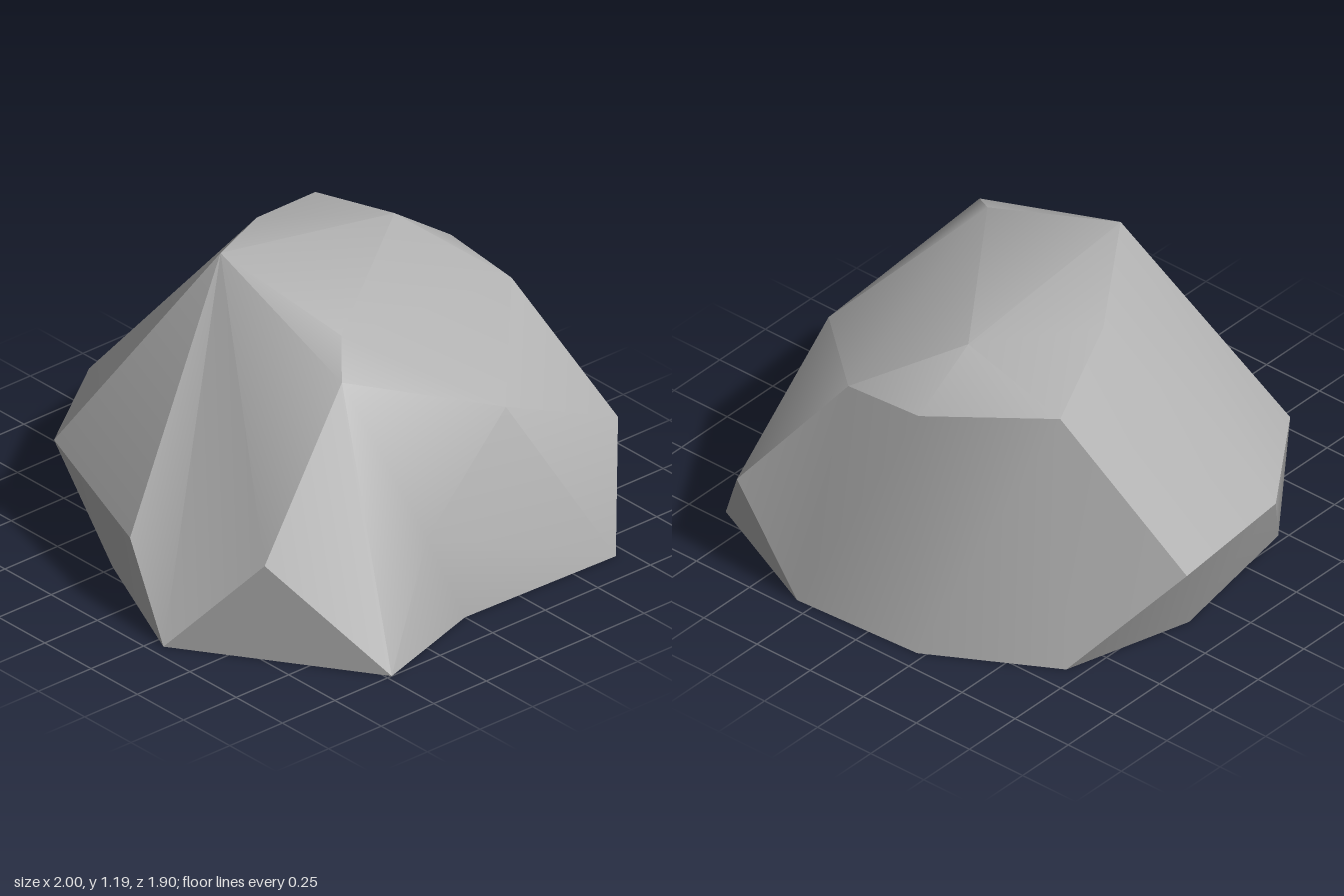
import * as THREE from 'three';
import { toCreasedNormals } from 'three/addons/utils/BufferGeometryUtils.js';

// Corners of the boulder
const corners = {
  // crown
  A: [-0.13, 1.19, 0.30], B: [0.42, 1.05, 0.21], C: [0.56, 0.96, 0.33],
  M: [-0.40, 1.07, -0.11], N: [-0.55, 0.96, -0.52], Q: [-0.10, 1.07, -0.50],
  O: [-0.09, 0.89, -0.76], V: [0.25, 0.86, -0.75],
  // waist
  D: [0.62, 0.39, 0.75], G: [0.04, 0.31, 0.88], H: [-0.61, 0.36, 0.67],
  J: [-0.92, 0.36, 0.23], K: [-1, 0.39, -0.35], S: [0.62, 0.38, -0.93],
  R: [0.85, 0.39, 0.18], Z: [0.73, 0.70, -0.30],
  // foot
  E: [1, 0, 0.48], F: [0.30, 0, 0.95], P: [-0.26, 0, 0.70], I: [-0.76, 0.04, 0.43],
  L: [-0.83, 0, -0.14], X: [-0.69, 0, -0.65], W: [-0.22, 0, -0.92],
  U: [0.32, 0, -0.95], T: [0.87, 0, -0.70], Y: [0.85, 0, 0],
};

// Each facet is a ring of corners, fanned from its first one
const facets = [
  'ABCDFGHJM', 'HIJ', 'JKNM',                // front and left slopes
  'AQM', 'MQN', 'NQO', 'OQV', 'ABQ', 'BVQ',  // crown
  'CDER', 'EYR', 'YTR', 'RTZ', 'CRZ', 'TSZ', 'ZSV', 'BCZ', 'BZV', // right side
  'VSU', 'VUO', 'OUW', 'OWN', 'NWX', 'NXK',  // back
  'FED', 'PFGHI', 'LIJK', 'KXL', 'STU',      // chipped lower edges
  'YEFPLXWUT', 'LIP',                        // underside
];

function facetedGeometry(center, crease) {
  const points = [];
  const v = (key) => new THREE.Vector3(...corners[key]);
  for (const ring of facets) {
    for (let i = 1; i < ring.length - 1; i++) {
      const [a, b, c] = [v(ring[0]), v(ring[i]), v(ring[i + 1])];
      const normal = b.clone().sub(a).cross(c.clone().sub(a));
      const middle = a.clone().add(b).add(c).divideScalar(3).sub(center);
      // turn every triangle outward
      points.push(...(normal.dot(middle) > 0 ? [a, b, c] : [a, c, b]));
    }
  }
  return toCreasedNormals(new THREE.BufferGeometry().setFromPoints(points), crease);
}

export function createModel() {
  const stone = new THREE.MeshStandardMaterial({ color: 0xb2b2b2 });
  stone.name = 'grey stone';
  const boulder = new THREE.Mesh(
    facetedGeometry(new THREE.Vector3(0, 0.4, 0), THREE.MathUtils.degToRad(32)), stone);
  boulder.name = 'boulder';
  const group = new THREE.Group();
  group.name = 'rock';
  group.add(boulder);
  return group;
}
